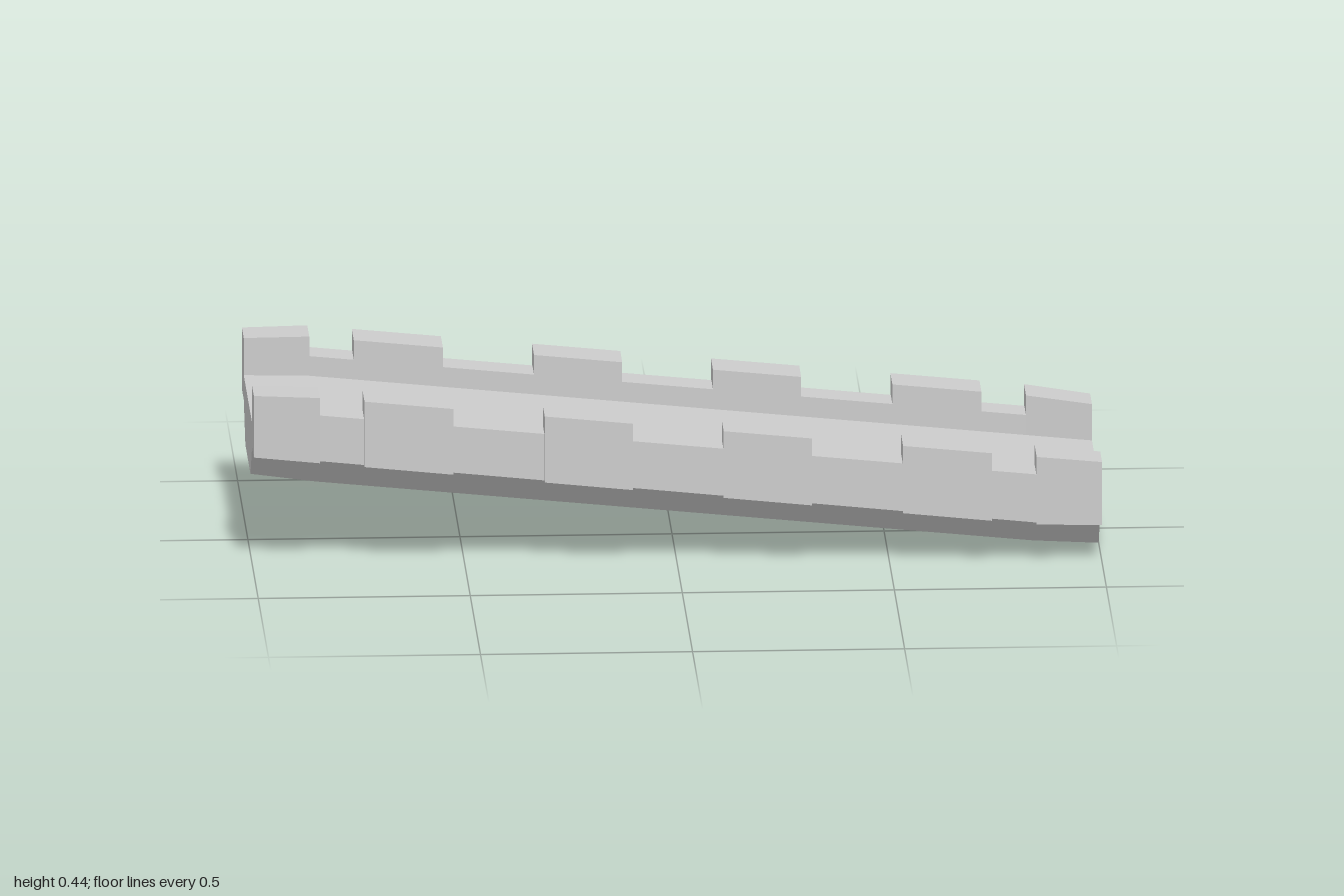
import * as THREE from 'three';

// Stations along the length and the values that change there
const X = [-1, -0.845, 0.845, 1];
const DECK = [0.345, 0.338, 0.169, 0.157];
const UNDER = [0.285, 0.274, 0.1, 0.092];
const KEEL = [0.197, 0.178, 0.01, 0];
const TOP = [0.436, 0.434, 0.266, 0.246];
const INNER = [0.201, 0.213, 0.213, 0.201];
const OUTER = [0.291, 0.309, 0.309, 0.291];
const KEEL_HALF = [0.124, 0.131, 0.131, 0.124];
const GAP_DROP = 0.048;
const GAP_OUTER = 0.291;

// Piecewise linear value at x
function at(values, x) {
  const i = x < X[1] ? 0 : x < X[2] ? 1 : 2;
  return THREE.MathUtils.lerp(values[i], values[i + 1], (x - X[i]) / (X[i + 1] - X[i]));
}

// Joins cross-sections of [x, y, z] points, skipping hidden edges, and caps both ends
function loft(name, sections, hiddenEdges, material) {
  const pos = [];
  const tri = (a, b, c) => pos.push(...a, ...b, ...c);
  const n = sections[0].length;
  for (let s = 0; s < sections.length - 1; s++) {
    const a = sections[s], b = sections[s + 1];
    for (let i = 0; i < n; i++) {
      if (hiddenEdges.includes(i)) continue;
      const j = (i + 1) % n;
      tri(a[i], b[i], b[j]);
      tri(a[i], b[j], a[j]);
    }
  }
  const first = sections[0], last = sections[sections.length - 1];
  for (let i = 1; i < n - 1; i++) {
    tri(first[0], first[i], first[i + 1]);
    tri(last[0], last[i + 1], last[i]);
  }
  const geometry = new THREE.BufferGeometry();
  geometry.setAttribute('position', new THREE.Float32BufferAttribute(pos, 3));
  geometry.computeVertexNormals();
  const mesh = new THREE.Mesh(geometry, material);
  mesh.name = name;
  return mesh;
}

export function createModel() {
  const group = new THREE.Group();
  group.name = 'slopingBridge';
  const material = new THREE.MeshStandardMaterial({ color: 0xcccccc, flatShading: true });

  // Deck with the tapered keel below it
  const deckSections = X.map((x, i) => [
    [x, DECK[i], INNER[i]], [x, DECK[i], -INNER[i]],
    [x, UNDER[i], -INNER[i]], [x, KEEL[i], -KEEL_HALF[i]],
    [x, KEEL[i], KEEL_HALF[i]], [x, UNDER[i], INNER[i]],
  ]);
  group.add(loft('deck', deckSections, [1, 5], material));

  // Parapet stretches: raised blocks alternate with low, recessed gaps
  const breaks = [-1, -0.845, -0.74, -0.53, -0.315, -0.107, 0.107, 0.315, 0.53, 0.74, 0.845, 1];
  const wallSection = (x, raised, side) => {
    const outer = raised ? at(OUTER, x) : GAP_OUTER;
    const top = at(TOP, x) - (raised ? 0 : GAP_DROP);
    const inner = at(INNER, x);
    const points = [
      [x, at(UNDER, x), inner * side], [x, at(UNDER, x), outer * side],
      [x, top, outer * side], [x, top, inner * side], [x, at(DECK, x), inner * side],
    ];
    return side > 0 ? points : points.reverse();
  };
  for (const side of [1, -1]) {
    const sections = [];
    for (let i = 0; i < breaks.length - 1; i++) {
      const raised = i % 2 === 0;
      sections.push(wallSection(breaks[i], raised, side), wallSection(breaks[i + 1], raised, side));
    }
    group.add(loft(side > 0 ? 'frontParapet' : 'backParapet', sections, [4], material));
  }
  return group;
}
